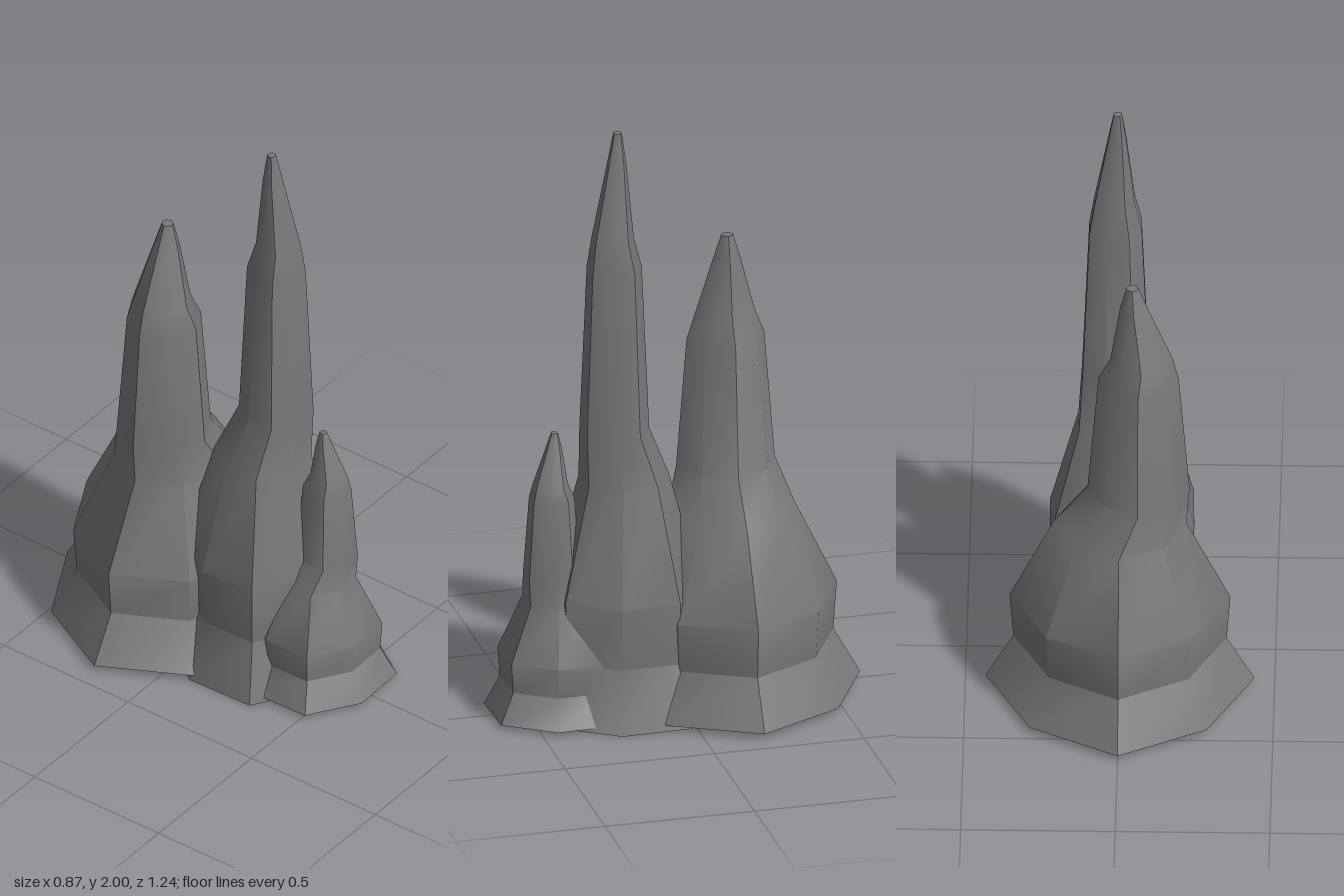
import * as THREE from 'three';
import { toCreasedNormals } from 'three/addons/utils/BufferGeometryUtils.js';

const SIDES = 8;

// Spire cross-sections from foot to tip: [height, sideways lean, radius].
const RINGS = [
  [0, 0, 0.435],
  [0.16, 0, 0.345],
  [0.325, 0, 0.357],
  [0.62, 0, 0.215],
  [0.76, -0.06, 0.165],
  [1.2, -0.06, 0.13],
  [1.28, -0.07, 0.1],
  [1.48, -0.045, 0.045],
  [1.56, -0.04, 0.02],
];

// Lofts eight-sided rings, closed at the foot or at the tip.
function loft(rings, closeFoot) {
  const pos = [], index = [];
  for (const [y, lean, r] of rings) {
    for (let i = 0; i < SIDES; i++) {
      const a = (i / SIDES) * Math.PI * 2;
      const k = i % 2 ? r * 0.93 : r; // every other corner is blunter
      pos.push(lean + Math.cos(a) * k, y, Math.sin(a) * k);
    }
  }
  for (let j = 0; j < rings.length - 1; j++) {
    for (let i = 0; i < SIDES; i++) {
      const a = j * SIDES + i, b = j * SIDES + (i + 1) % SIDES;
      index.push(a, a + SIDES, b, b, a + SIDES, b + SIDES);
    }
  }
  const top = (rings.length - 1) * SIDES;
  for (let i = 1; i < SIDES - 1; i++) {
    if (closeFoot) index.push(0, i, i + 1);
    else index.push(top, top + i + 1, top + i);
  }
  const geo = new THREE.BufferGeometry();
  geo.setAttribute('position', new THREE.Float32BufferAttribute(pos, 3));
  geo.setIndex(index);
  return toCreasedNormals(geo, 0.7);
}

export function createModel() {
  const group = new THREE.Group();
  group.name = 'rockSpires';

  const rock = new THREE.MeshStandardMaterial({ color: 0x787878 });
  // foot and shaft are separate so the edge between them stays sharp
  const parts = { foot: loft(RINGS.slice(0, 2), true), shaft: loft(RINGS.slice(1), false) };

  // one rock shape in three sizes: [name, y, z, width scale, height scale, turn]
  const spires = [
    ['backSpire', 0.022, -0.185, 1, 1, 0],
    ['middleSpire', 0, 0.17, 0.736, 1.282, 2.08],
    ['frontSpire', 0.015, 0.385, 0.607, 0.613, 2.08],
  ];
  for (const [name, y, z, width, height, turn] of spires) {
    const spire = new THREE.Group();
    spire.name = name;
    for (const part in parts) {
      const mesh = new THREE.Mesh(parts[part], rock);
      mesh.name = part;
      spire.add(mesh);
    }
    spire.position.set(0, y, z);
    spire.scale.set(width, height, width);
    spire.rotation.y = turn;
    group.add(spire);
  }
  return group;
}
